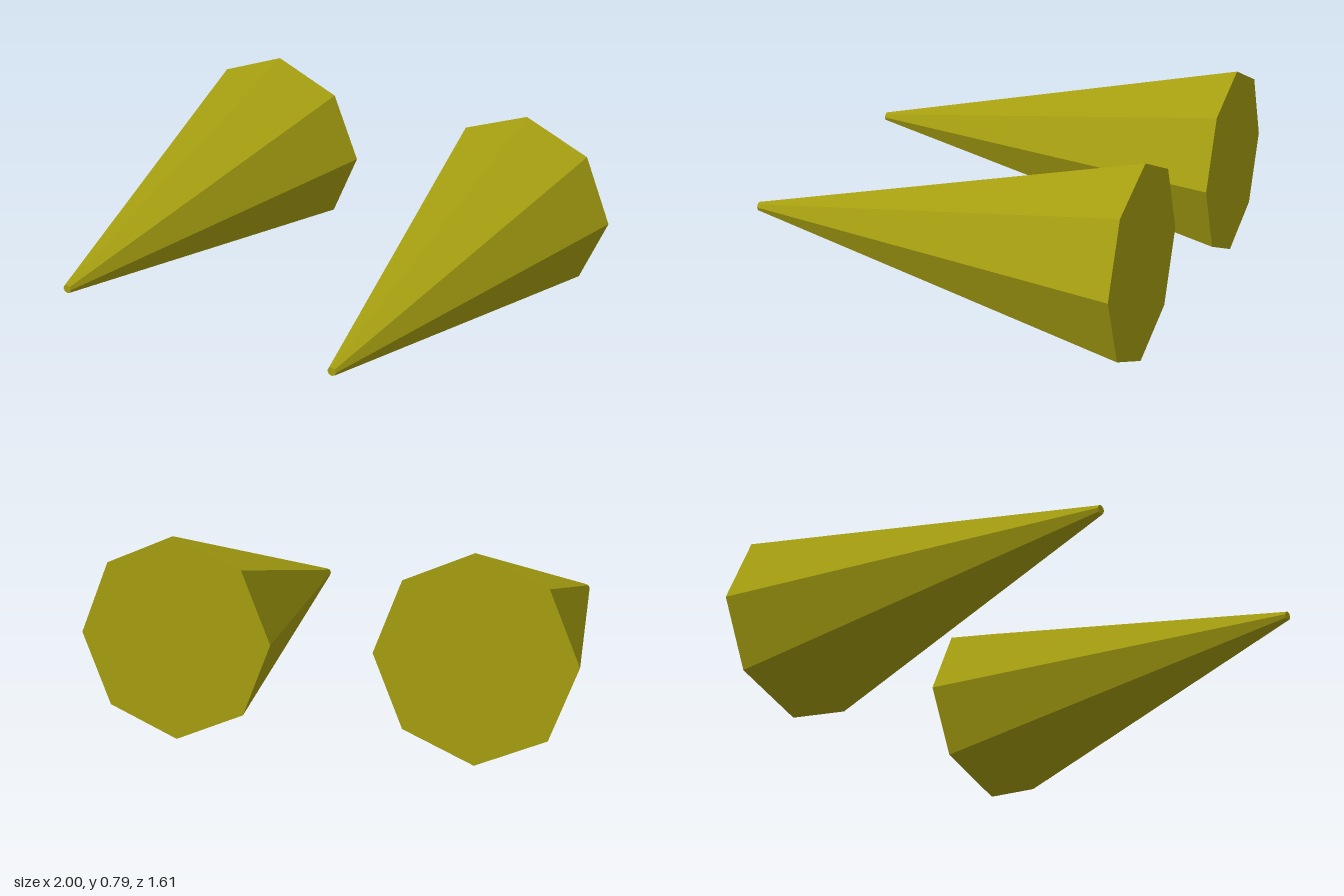
import * as THREE from 'three';

export function createModel() {
  const group = new THREE.Group();
  group.name = 'conePair';
  const material = new THREE.MeshStandardMaterial({ color: 0xa59e10, flatShading: true });

  // Eight-sided cone with a tiny blunt tip, pointing to the front
  const geometry = new THREE.CylinderGeometry(0.018, 0.397, 1.606, 8);
  geometry.rotateX(Math.PI / 2);

  // One cone on each side
  for (const side of [-1, 1]) {
    const cone = new THREE.Mesh(geometry, material);
    cone.name = side > 0 ? 'leftCone' : 'rightCone';
    cone.position.set(side * 0.603, 0.398, 0);
    group.add(cone);
  }
  return group;
}
